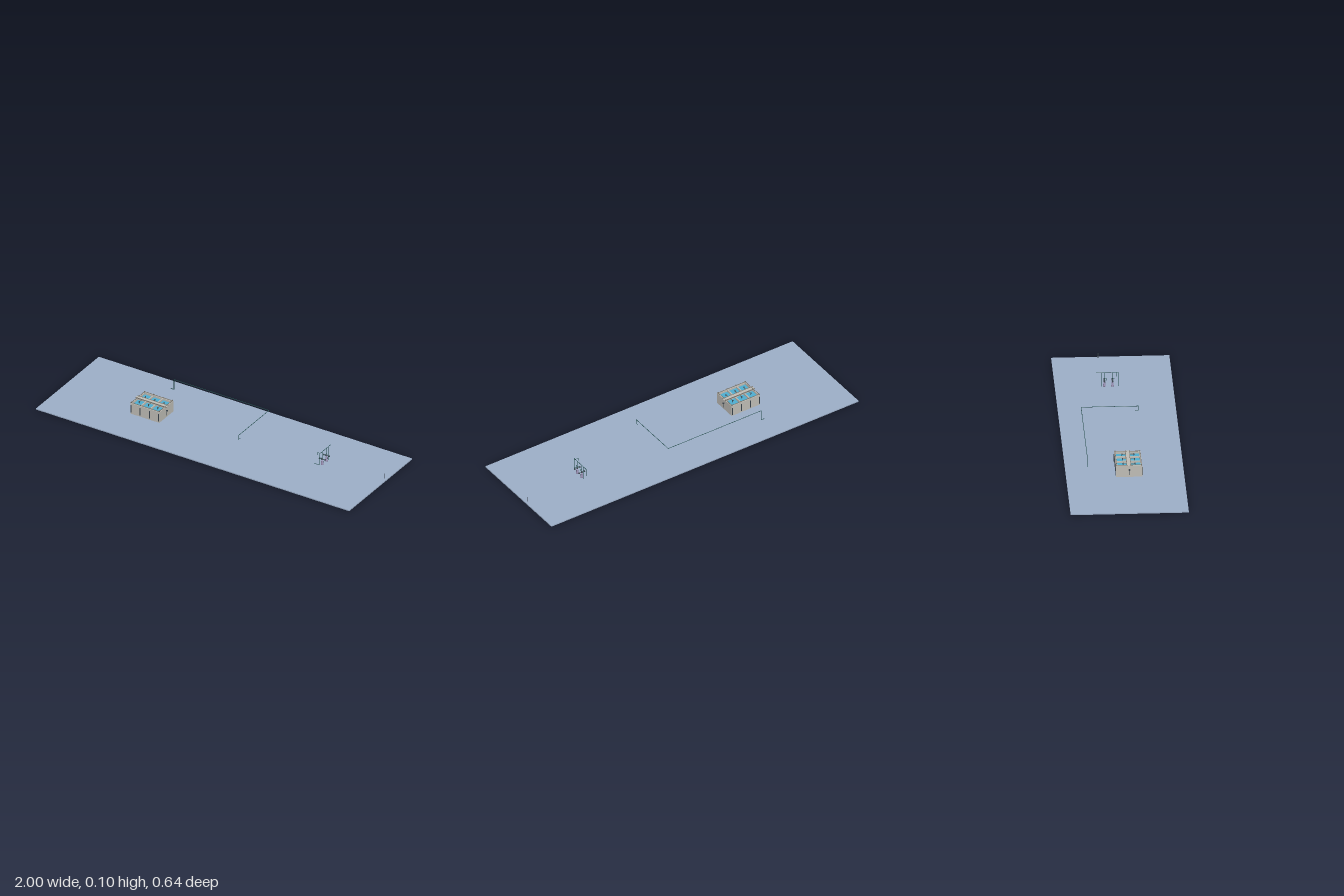
import * as THREE from 'three';

const mat = (color) => new THREE.MeshStandardMaterial({ color });

export function createModel() {
  const root = new THREE.Group();
  const concrete = mat(0xbfbdb6), trim = mat(0x77736b), water = mat(0x4faed0);
  const pipeMat = mat(0x24504f), steel = mat(0x3c4650), pumpMat = mat(0x9d93b8), groundMat = mat(0x9dafc8);

  const group = (name) => {
    const g = new THREE.Group();
    g.name = name;
    root.add(g);
    return g;
  };
  // box given by its min and max corners
  const box = (parent, name, m, x0, x1, y0, y1, z0, z1) => {
    const mesh = new THREE.Mesh(new THREE.BoxGeometry(x1 - x0, y1 - y0, z1 - z0), m);
    mesh.position.set((x0 + x1) / 2, (y0 + y1) / 2, (z0 + z1) / 2);
    mesh.name = name;
    parent.add(mesh);
    return mesh;
  };
  // cylinder between two points
  const rod = (parent, name, m, a, b, r) => {
    const p = new THREE.Vector3(...a), q = new THREE.Vector3(...b);
    const d = q.clone().sub(p);
    const mesh = new THREE.Mesh(new THREE.CylinderGeometry(r, r, d.length(), 12), m);
    mesh.position.copy(p).add(q).multiplyScalar(0.5);
    mesh.quaternion.setFromUnitVectors(new THREE.Vector3(0, 1, 0), d.normalize());
    mesh.name = name;
    parent.add(mesh);
  };
  // pipe run through corner points, with a round elbow at each bend
  const pipe = (parent, name, pts, r) => {
    for (let i = 0; i + 1 < pts.length; i++) {
      rod(parent, name, pipeMat, pts[i], pts[i + 1], r);
      if (i > 0) {
        const elbow = new THREE.Mesh(new THREE.SphereGeometry(r * 1.1, 10, 8), pipeMat);
        elbow.position.set(...pts[i]);
        elbow.name = name + 'Elbow';
        parent.add(elbow);
      }
    }
  };

  // Ground slab
  const G = 0.006;
  box(root, 'groundSlab', groundMat, -1, 1, 0, G, -0.32, 0.32);

  // Open basin with six water cells
  const basin = group('basin');
  const X0 = -0.54, X1 = -0.355, Z0 = -0.05, Z1 = 0.092, T = 0.072, W = 0.008;
  const ZM = 0.02;
  box(basin, 'basinFloor', concrete, X0, X1, G, 0.012, Z0, Z1);
  for (const x of [X0, X1 - W]) box(basin, 'endWall', concrete, x, x + W, G, T, Z0, Z1);
  for (const z of [Z0, Z1 - W]) box(basin, 'longWall', concrete, X0, X1, G, T, z, z + W);
  box(basin, 'middleWall', concrete, X0, X1, G, T, ZM - 0.006, ZM + 0.006);
  const pitch = (X1 - X0 - W) / 3;
  for (let i = 1; i < 3; i++) {
    const x = X0 + W / 2 + i * pitch;
    box(basin, 'crossWall', concrete, x - 0.003, x + 0.003, G, T, Z0, Z1);
  }
  box(basin, 'water', water, X0 + W, X1 - W, 0.012, 0.061, Z0 + W, Z1 - W);

  // Walkway over the middle wall
  box(basin, 'walkway', concrete, X0 - 0.006, X1 + 0.006, T, 0.075, ZM - 0.01, ZM + 0.01);
  for (const s of [-1, 1])
    box(basin, 'walkwayEdge', trim, X0 - 0.006, X1 + 0.006, T, 0.0765, ZM + s * 0.0105 - 0.0012, ZM + s * 0.0105 + 0.0012);

  // Rim rail and its posts
  const rim = 0.004;
  for (const z of [Z0 + rim, Z1 - rim]) {
    box(basin, 'rimRail', trim, X0, X1, 0.0735, 0.0755, z - 0.0015, z + 0.0015);
    for (let i = 0; i < 4; i++) {
      const x = X0 + W / 2 + i * pitch;
      box(basin, 'rimPost', trim, x - 0.002, x + 0.002, T, 0.079, z - 0.002, z + 0.002);
    }
  }
  for (const x of [X0 + rim, X1 - rim])
    box(basin, 'rimRail', trim, x - 0.0015, x + 0.0015, 0.0735, 0.0755, Z0, Z1);

  // Upright pipes along the long walls, and one stirrer per cell
  for (const z of [Z0 - 0.001, Z1 + 0.001])
    for (let i = 0; i < 4; i++) {
      const x = X0 + W / 2 + i * pitch;
      rod(basin, 'wallPipe', steel, [x, 0.014, z], [x, 0.06, z], 0.0022);
    }
  for (let i = 0; i < 3; i++)
    for (const z of [-0.01, 0.055]) {
      const x = X0 + W / 2 + (i + 0.5) * pitch;
      rod(basin, 'stirrerShaft', steel, [x, 0.02, z], [x, 0.073, z], 0.0014);
      rod(basin, 'stirrerMotor', steel, [x, 0.067, z], [x, 0.074, z], 0.003);
      box(basin, 'stirrerBeam', trim, x - 0.0015, x + 0.0015, 0.07, 0.072, Math.min(z, ZM), Math.max(z, ZM));
    }

  // Flanged nozzles in the end walls
  for (const [x, s] of [[X0, -1], [X1, 1]]) {
    rod(basin, 'endNozzle', steel, [x, 0.05, 0.023], [x + s * 0.01, 0.05, 0.023], 0.003);
    rod(basin, 'endFlange', steel, [x + s * 0.006, 0.05, 0.023], [x + s * 0.009, 0.05, 0.023], 0.005);
    rod(basin, 'endDrain', steel, [x + s * 0.003, 0.02, 0.023], [x + s * 0.003, 0.05, 0.023], 0.0014);
  }

  // Long overhead pipe
  const overhead = group('overheadPipe');
  pipe(overhead, 'overheadPipe', [
    [-0.467, 0.038, -0.202], [-0.446, 0.038, -0.202], [-0.446, 0.1, -0.202], [0.16, 0.1, -0.202],
    [0.16, 0.1, 0.108], [0.16, 0.075, 0.108], [0.16, 0.075, 0.091],
  ], 0.0014);

  // Two pumps with side branches and riser pipes
  const station = group('pumpStation');
  const PX = 0.622;
  const profile = [[0, 0], [0.0075, 0], [0.0075, 0.004], [0.0062, 0.006], [0.0052, 0.024], [0.004, 0.03], [0, 0.031]]
    .map(([r, y]) => new THREE.Vector2(r, y));
  for (const z of [-0.052, -0.008]) {
    const body = new THREE.Mesh(new THREE.LatheGeometry(profile, 16), pumpMat);
    body.position.set(PX, G, z);
    body.name = 'pumpBody';
    station.add(body);
    const head = new THREE.Mesh(new THREE.SphereGeometry(0.0055, 14, 10), steel);
    head.position.set(PX, 0.042, z);
    head.name = 'pumpHead';
    station.add(head);
    box(station, 'pumpPanel', steel, PX + 0.004, PX + 0.007, 0.022, 0.029, z - 0.002, z + 0.002);
    rod(station, 'pumpBranch', pipeMat, [PX - 0.021, 0.041, z], [PX + 0.021, 0.041, z], 0.0014);
    for (const s of [-1, 1])
      rod(station, 'branchFlange', steel, [PX + s * 0.015, 0.041, z], [PX + s * 0.02, 0.041, z], 0.0045);
    pipe(station, 'pumpRiser', [[PX, 0.045, z], [PX, 0.087, z]], 0.0013);
    pipe(station, 'pumpVent', [[PX, 0.041, z + 0.011], [PX, 0.053, z + 0.011], [PX, 0.053, z]], 0.0009);
  }
  pipe(station, 'headerPipe', [
    [0.59, 0.02, 0.023], [PX, 0.02, 0.023], [PX, 0.087, 0.023], [PX, 0.087, -0.097], [PX, 0.043, -0.097],
  ], 0.0013);
  pipe(station, 'headerBranch', [[0.603, 0.072, 0.012], [0.603, 0.087, 0.012], [PX, 0.087, 0.012]], 0.0012);
  pipe(station, 'headerLeg', [[PX, G, -0.067], [PX, 0.087, -0.067]], 0.0014);

  // Lone post near the slab edge
  rod(root, 'edgePost', steel, [0.985, G, -0.067], [0.985, 0.036, -0.067], 0.0016);

  return root;
}
